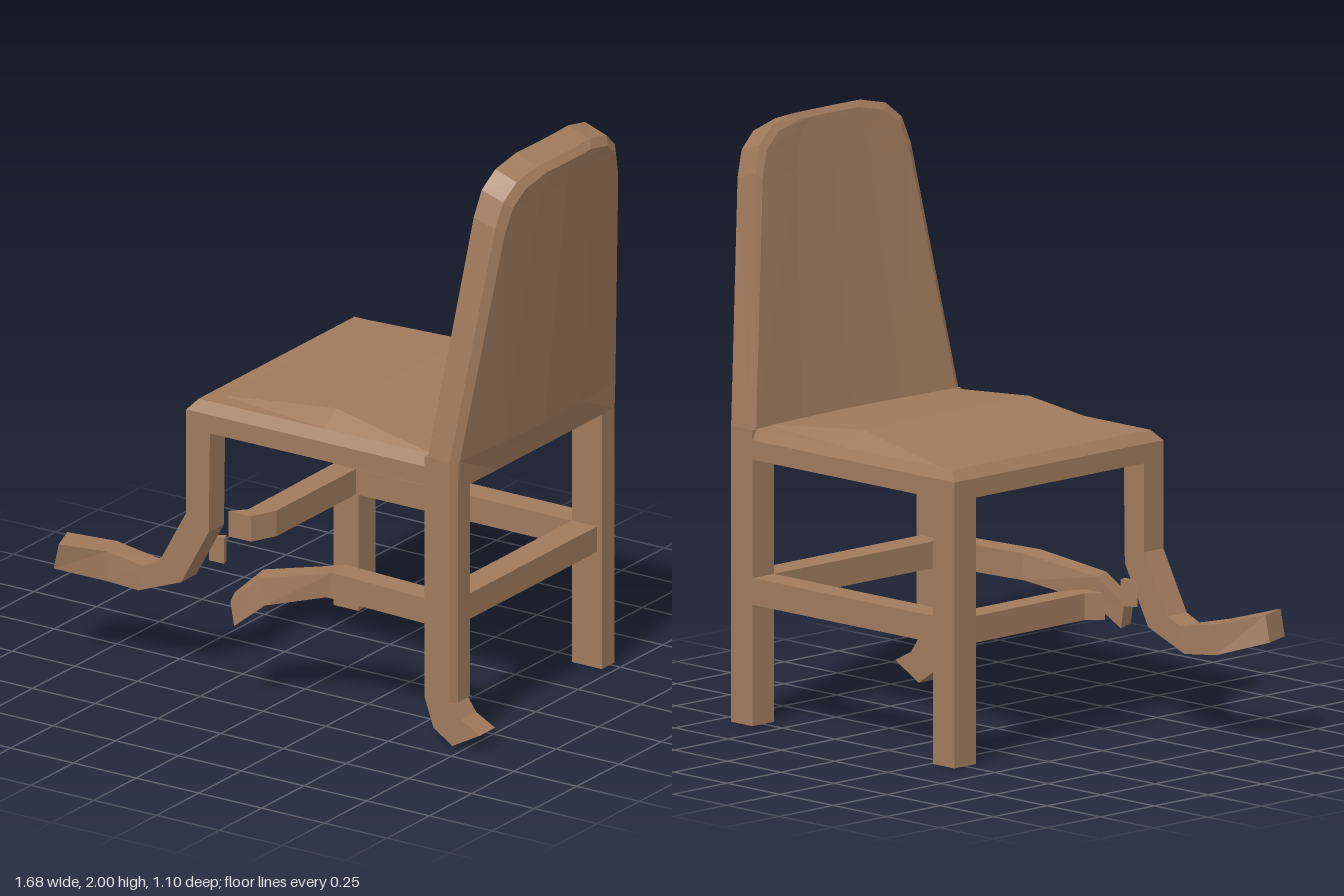
import * as THREE from 'three';
import { mergeGeometries } from 'three/addons/utils/BufferGeometryUtils.js';

const wood = new THREE.MeshStandardMaterial({ color: 0xa07a5c, flatShading: true });

// Flat-faced grid of nu x nv points; faces look along du x dv
function surface(nu, nv, point) {
  const pos = [];
  for (let u = 0; u < nu - 1; u++) {
    for (let v = 0; v < nv - 1; v++) {
      const a = point(u, v), b = point(u + 1, v), c = point(u + 1, v + 1), d = point(u, v + 1);
      pos.push(...a, ...b, ...c, ...a, ...c, ...d);
    }
  }
  const g = new THREE.BufferGeometry();
  g.setAttribute('position', new THREE.Float32BufferAttribute(pos, 3));
  g.computeVertexNormals();
  return g;
}

// Four-sided bar through sections [ax, ay, bx, by, zIn, zOut, skew];
// a and b are opposite edges, skew shifts the outer side along x
function bentBar(sections) {
  const corner = (s, i) => {
    const [ax, ay, bx, by, zIn, zOut, skew = 0] = sections[s];
    const isB = i === 1 || i === 2, outer = i < 2;
    return [(isB ? bx : ax) + (outer ? skew : 0), isB ? by : ay, outer ? zOut : zIn];
  };
  const last = sections.length - 1;
  const ends = [[3, 0], [2, 1]]; // [a or b][inner or outer]
  return mergeGeometries([
    surface(last + 1, 5, (s, i) => corner(s, i % 4)),
    surface(2, 2, (u, v) => corner(last, ends[u][v])),
    surface(2, 2, (u, v) => corner(0, ends[v][u])),
  ]);
}

// Vertical post from a plan outline of [x, z] points
function post(plan, y0, y1) {
  const shape = new THREE.Shape(plan.map(([x, z]) => new THREE.Vector2(x, -z)));
  return new THREE.ExtrudeGeometry(shape, { depth: y1 - y0, bevelEnabled: false })
    .rotateX(-Math.PI / 2).translate(0, y0, 0);
}

function box(x0, x1, y0, y1, z0, z1) {
  return new THREE.BoxGeometry(x1 - x0, y1 - y0, z1 - z0)
    .translate((x0 + x1) / 2, (y0 + y1) / 2, (z0 + z1) / 2);
}

// Leaning, bowed backrest with a rounded top and chamfered rim
function backrestGeometry() {
  const rows = [[0.9, 0.485], [1, 0.485], [1.83, 0.36], [1.92, 0.33], [1.975, 0.265], [2, 0.155]];
  const cols = [-1, -0.5, 0, 0.5, 1];
  const layers = [ // x offset, inset, drop at the top
    [0, 0.02, 0.02], [0.015, 0, 0], [0.1, 0, 0.03], [0.12, 0.025, 0.055],
  ];
  const R = rows.length, C = cols.length, L = layers.length;
  const p = (l, r, c) => {
    const [dx, inset, drop] = layers[l], [y, half] = rows[r];
    const rise = Math.max(0, y - 1);
    const z = cols[c] * (half - inset);
    const bow = r === 0 ? 0 : 0.03 * (1 - (z / 0.485) ** 2);
    return [0.59 + dx + 0.1 * rise + bow, y - drop * rise, z - 0.065];
  };
  return mergeGeometries([
    surface(C, R, (c, r) => p(0, r, c)),
    surface(R, C, (r, c) => p(L - 1, r, c)),
    surface(C, L, (c, l) => p(l, R - 1, c)),
    surface(L, C, (l, c) => p(l, 0, c)),
    surface(L, R, (l, r) => p(l, r, C - 1)),
    surface(R, L, (r, l) => p(l, r, 0)),
  ]);
}

// Low cushion swelling towards a ridge across the seat
function cushionGeometry() {
  const xs = [-0.28, 0.17, 0.61], zs = [-0.53, -0.45, 0.32, 0.39];
  return surface(4, 3, (v, u) => {
    const raised = u === 1 && (v === 1 || v === 2);
    return [xs[u], raised ? 1.05 : 1.0, zs[v]];
  });
}

export function createModel() {
  const chair = new THREE.Group();
  chair.name = 'brokenChair';
  const add = (name, geometry) => {
    const mesh = new THREE.Mesh(geometry, wood);
    mesh.name = name;
    chair.add(mesh);
  };

  // Seat slab with a chamfered top edge
  add('seat', bentBar([
    [-0.33, 1, 0.69, 1, -0.53, 0.39],
    [-0.36, 0.965, 0.69, 0.965, -0.55, 0.42],
    [-0.36, 0.9, 0.69, 0.9, -0.55, 0.42],
  ]));
  add('seatCushion', cushionGeometry());
  add('backrest', backrestGeometry());

  // Sound legs
  add('farFrontLeg', box(-0.36, -0.26, 0, 0.92, -0.55, -0.45));
  add('farBackLeg', post(
    [[0.59, -0.45], [0.71, -0.45], [0.71, -0.525], [0.69, -0.55], [0.59, -0.55]], 0, 1));

  // Back leg with a foot kicked backwards
  add('nearBackLeg', post(
    [[0.59, 0.42], [0.69, 0.42], [0.71, 0.4], [0.71, 0.33], [0.59, 0.33]], 0.15, 1));
  add('kickedFoot', bentBar([
    [0.59, 0.15, 0.7, 0.15, 0.33, 0.42],
    [0.625, 0.05, 0.735, 0.1, 0.33, 0.42],
    [0.7, 0, 0.81, 0.06, 0.33, 0.42],
  ]));

  // Front leg buckled forwards and outwards
  add('buckledFrontLeg', bentBar([
    [-0.36, 0.92, -0.265, 0.92, 0.33, 0.42],
    [-0.36, 0.6, -0.27, 0.55, 0.33, 0.42],
    [-0.47, 0.4, -0.38, 0.35, 0.33, 0.42],
    [-0.53, 0.375, -0.55, 0.285, 0.33, 0.42],
    [-0.69, 0.405, -0.69, 0.3, 0.34, 0.44, 0.03],
    [-0.82, 0.44, -0.84, 0.35, 0.44, 0.55, 0.04],
  ]));

  // Stretcher rails
  add('farSideRail', box(-0.27, 0.6, 0.41, 0.5, -0.55, -0.45));
  add('backRail', box(0.59, 0.69, 0.41, 0.5, -0.46, 0.34));

  // Side rail snapped off and drooping
  add('snappedSideRail', bentBar([
    [0.6, 0.5, 0.6, 0.41, 0.33, 0.42],
    [0.22, 0.51, 0.2, 0.42, 0.33, 0.42],
    [-0.06, 0.46, -0.04, 0.37, 0.41, 0.49, 0.04],
    [-0.145, 0.375, -0.13, 0.29, 0.45, 0.53, 0.035],
  ]));

  // Front rail snapped short, its end bent forwards
  add('snappedFrontRail', bentBar([
    [-0.36, 0.46, -0.27, 0.46, 0.41, 0.5],
    [-0.355, -0.06, -0.27, -0.02, 0.41, 0.5],
    [-0.4, -0.11, -0.31, -0.11, 0.41, 0.5],
  ]).rotateX(-Math.PI / 2));

  // Splinter of the front rail left beside the buckled leg
  add('railSplinter', post([[-0.33, 0.33], [-0.27, 0.33], [-0.28, 0.3]], 0.41, 0.5));

  return chair;
}
